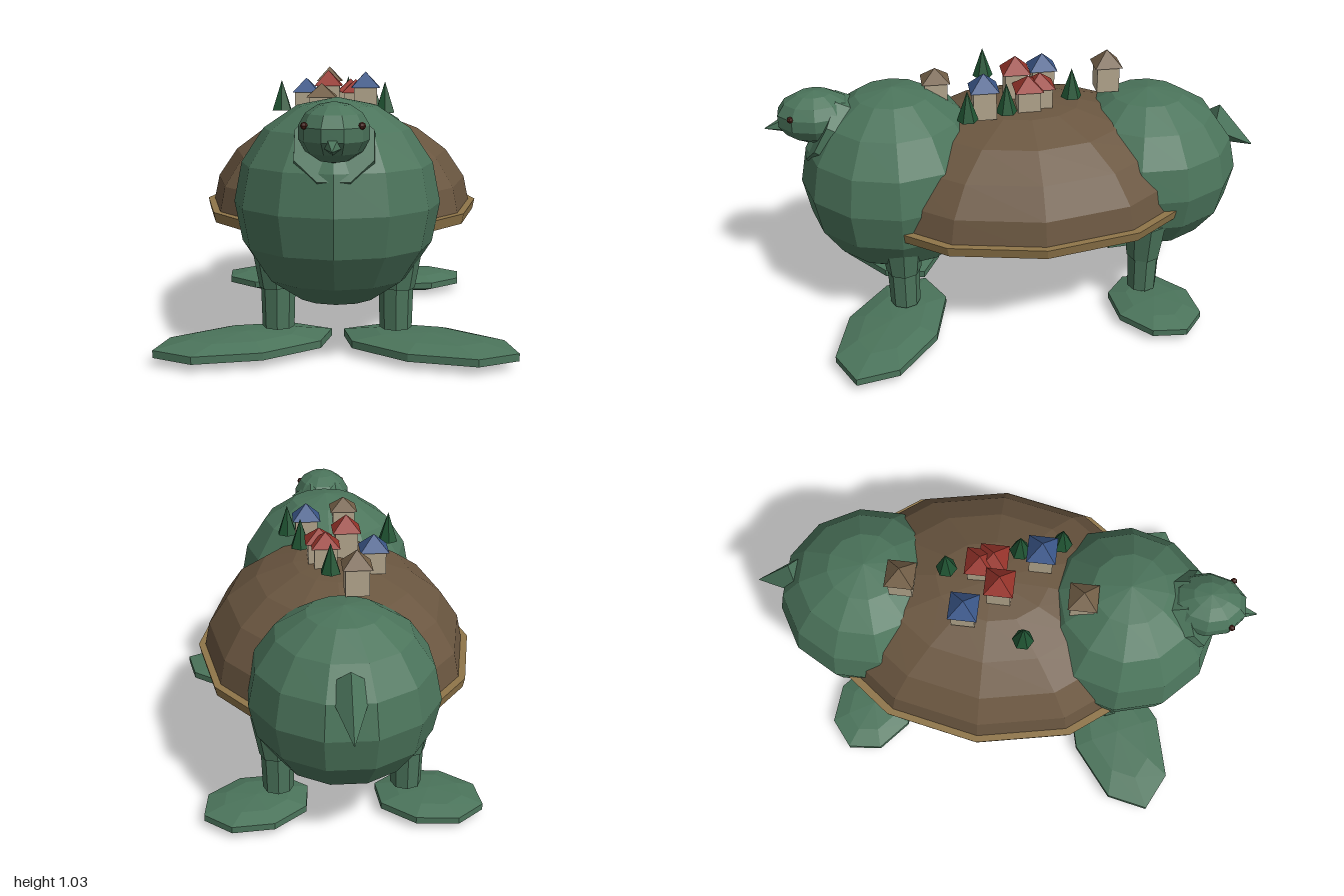
import * as THREE from 'three';

const paint = (name, color) => {
  const m = new THREE.MeshStandardMaterial({ color, flatShading: true });
  m.name = name;
  return m;
};

export function createModel() {
  const skin = paint('skin green', 0x4b745b);
  const shellBrown = paint('shell brown', 0x6a5640);
  const rimTan = paint('rim tan', 0x8f7549);
  const wallCream = paint('wall cream', 0xb3a68d);
  const roofRed = paint('roof red', 0x96332a);
  const roofBlue = paint('roof blue', 0x3a5688);
  const roofBrown = paint('roof brown', 0x735f47);
  const treeGreen = paint('tree green', 0x205433);
  const eyeDark = paint('eye dark red', 0x4a2018);

  const model = new THREE.Group();
  model.name = 'townTurtle';

  const add = (name, geo, mat, pos, parent = model) => {
    const mesh = new THREE.Mesh(geo, mat);
    mesh.name = name;
    mesh.position.set(...pos);
    parent.add(mesh);
    return mesh;
  };
  // Faceted ellipsoid, optionally spun about its vertical axis
  const blob = (name, mat, pos, radii, w, h, spin = 0) =>
    add(name, new THREE.SphereGeometry(1, w, h).rotateY(spin).scale(...radii), mat, pos);
  // Tapered cylinder between two points
  const limb = (name, mat, a, b, ra, rb, sides, spin = 0) => {
    const from = new THREE.Vector3(...a), to = new THREE.Vector3(...b);
    const dir = to.clone().sub(from);
    const geo = new THREE.CylinderGeometry(rb, ra, dir.length(), sides).rotateY(spin);
    const mesh = add(name, geo, mat, from.add(to).multiplyScalar(0.5).toArray());
    mesh.quaternion.setFromUnitVectors(new THREE.Vector3(0, 1, 0), dir.normalize());
    return mesh;
  };

  // Body: chest, belly and rump
  blob('chest', skin, [0, 0.575, 0.5], [0.38, 0.385, 0.38], 12, 8);
  blob('belly', skin, [0, 0.5, -0.02], [0.36, 0.295, 0.75], 12, 8);
  blob('rump', skin, [0, 0.545, -0.53], [0.365, 0.345, 0.38], 12, 8, Math.PI / 12);

  // Shell: dome, rim band and flat underside
  add('shellDome', new THREE.SphereGeometry(1, 12, 5, 0, Math.PI * 2, 0, Math.PI / 2).scale(0.535, 0.4, 0.71),
    shellBrown, [0, 0.475, -0.03]);
  add('shellRim', new THREE.CylinderGeometry(1, 0.985, 0.04, 12, 1).rotateY(Math.PI / 2).scale(0.556, 1, 0.74),
    rimTan, [0, 0.483, -0.03]);
  add('shellUnderside', new THREE.CircleGeometry(1, 12).rotateX(Math.PI / 2).scale(0.545, 1, 0.725),
    shellBrown, [0, 0.461, -0.03]);

  // Neck, head, beak and tail
  limb('neck', skin, [0, 0.7, 0.58], [0, 0.815, 0.785], 0.17, 0.148, 8, Math.PI / 8);
  blob('head', skin, [0, 0.86, 0.8], [0.125, 0.105, 0.155], 10, 7);
  limb('beak', skin, [0, 0.835, 0.88], [0, 0.815, 1.0], 0.05, 0.002, 5);
  limb('tail', skin, [0, 0.715, -0.8], [0, 0.592, -1.0], 0.085, 0.002, 4);

  for (const s of [1, -1]) {
    blob('eye', eyeDark, [s * 0.096, 0.89, 0.893], [0.013, 0.013, 0.013], 6, 4);

    // Legs with a wider thigh sleeve above
    for (const [label, x, z] of [['front', 0.22, 0.5], ['hind', 0.25, -0.485]]) {
      limb(label + 'Leg', skin, [s * x, 0.1, z], [s * x, 0.3, z], 0.06, 0.066, 8);
      limb(label + 'Thigh', skin, [s * x, 0.255, z], [s * (x + 0.01), 0.42, z], 0.07, 0.09, 8);
    }

    // Flat paddle feet, splayed outwards
    blob('frontFoot', skin, [s * 0.34, 0.05, 0.56], [0.37, 0.045, 0.2], 8, 5).rotation.y = -s * 0.45;
    blob('hindFoot', skin, [s * 0.335, 0.047, -0.52], [0.23, 0.042, 0.18], 8, 5).rotation.y = s * 0.4;
  }

  // Village: x, z, wall bottom, eaves height, peak height, roof colour
  const houses = [
    [-0.06, -0.37, 0.87, 0.975, 1.037, roofBrown],
    [-0.063, 0.325, 0.86, 0.95, 1.0, roofBrown],
    [-0.148, -0.12, 0.85, 0.94, 1.0, roofBlue],
    [0.102, 0.15, 0.86, 0.975, 1.037, roofBlue],
    [0.038, -0.08, 0.86, 0.945, 0.998, roofRed],
    [0.06, -0.03, 0.86, 0.945, 0.998, roofRed],
    [-0.05, 0.005, 0.86, 0.975, 1.037, roofRed],
  ];
  for (const [x, z, base, eaves, peak, roof] of houses) {
    const house = new THREE.Group();
    house.name = 'house';
    house.position.set(x, 0, z);
    model.add(house);
    const h = eaves - base;
    add('walls', new THREE.BoxGeometry(0.09, h, 0.09), wallCream, [0, base + h / 2, 0], house);
    add('roof', new THREE.ConeGeometry(0.079, peak - eaves, 4).rotateY(Math.PI / 4), roof,
      [0, (eaves + peak) / 2, 0], house);
  }

  // Pine trees
  for (const [x, z] of [[0.026, -0.21], [0.13, 0.065], [0.178, 0.222], [-0.232, 0.115]])
    add('tree', new THREE.ConeGeometry(0.042, 0.12, 6), treeGreen, [x, 0.942, z]);

  return model;
}
